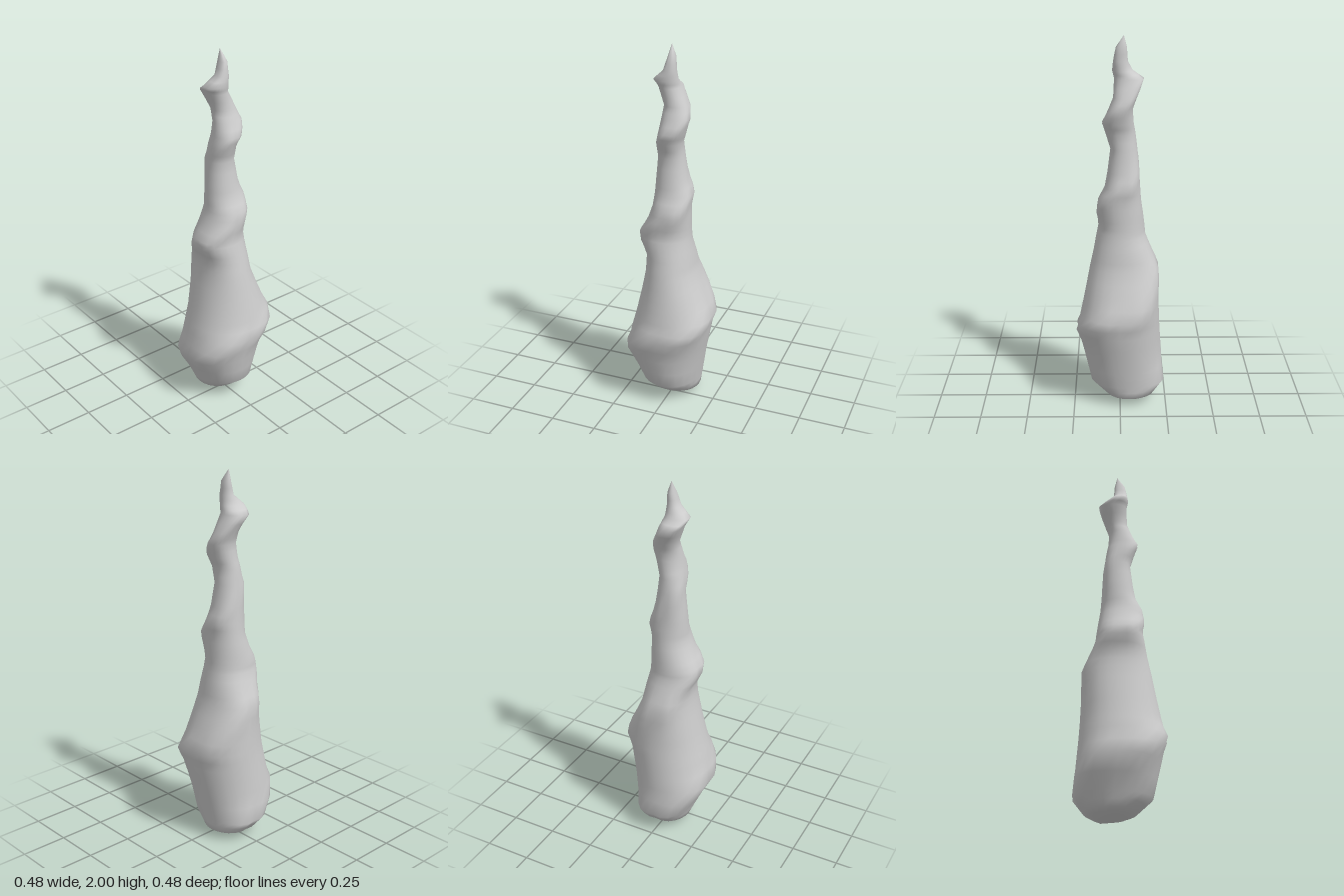
import * as THREE from 'three';

// Cross-sections from base to tip: height, min x, max x, min z, max z
const SECTIONS = [
  [0, -0.1, -0.1, -0.01, -0.01],
  [0.02, -0.14, 0.02, -0.07, 0.06],
  [0.05, -0.18, 0.08, -0.15, 0.13],
  [0.12, -0.235, 0.16, -0.16, 0.16],
  [0.29, -0.225, 0.2, -0.19, 0.235],
  [0.43, -0.215, 0.23, -0.22, 0.21],
  [0.53, -0.21, 0.21, -0.235, 0.185],
  [0.65, -0.205, 0.185, -0.19, 0.16],
  [0.78, -0.2, 0.16, -0.14, 0.135],
  [0.87, -0.165, 0.14, -0.125, 0.13],
  [0.95, -0.135, 0.125, -0.11, 0.16],
  [1.0, -0.13, 0.115, -0.105, 0.16],
  [1.08, -0.12, 0.12, -0.105, 0.12],
  [1.15, -0.11, 0.115, -0.105, 0.095],
  [1.22, -0.105, 0.08, -0.11, 0.09],
  [1.3, -0.1, 0.065, -0.085, 0.085],
  [1.42, -0.09, 0.05, -0.065, 0.075],
  [1.5, -0.08, 0.075, -0.06, 0.07],
  [1.56, -0.07, 0.09, -0.08, 0.06],
  [1.63, -0.065, 0.06, -0.095, 0.05],
  [1.69, -0.085, 0.035, -0.08, 0.045],
  [1.78, -0.12, 0.03, -0.04, 0.08],
  [1.82, -0.065, 0.04, -0.03, 0.095],
  [1.87, -0.04, 0.035, -0.025, 0.04],
  [1.94, -0.035, 0.02, -0.02, 0.02],
  [2, -0.02, -0.02, 0.005, 0.005],
];

// Heights at which the spiral ridge passes each quarter turn, starting on the right
const TURNS = [0.12, 0.29, 0.43, 0.53, 0.78, 0.97, 1.08, 1.22, 1.35, 1.46, 1.56, 1.64, 1.77, 1.82, 1.95];

function ridgeAngle(y) {
  let i = 0;
  while (i < TURNS.length - 2 && y > TURNS[i + 1]) i++;
  const t = THREE.MathUtils.clamp((y - TURNS[i]) / (TURNS[i + 1] - TURNS[i]), 0, 1);
  return (i - 1 + t) * Math.PI / 2;
}

// Rounded outline point, swelling where the ridge crosses a diagonal
function ringPoint([y, x0, x1, z0, z1], a) {
  const s = Math.sin(a), c = Math.cos(a);
  const round = Math.pow(Math.abs(s) ** 2.15 + Math.abs(c) ** 2.15, -1 / 2.15);
  const ridge = Math.max(0, Math.cos(a - ridgeAngle(y))) ** 4;
  const r = round * (1 + 0.12 * ridge * Math.abs(Math.sin(2 * a)));
  return [(x0 + x1) / 2 + s * r * (x1 - x0) / 2, y, (z0 + z1) / 2 + c * r * (z1 - z0) / 2];
}

function twistedSpire(sides) {
  // Add a halfway ring between neighbouring sections
  const rings = [];
  SECTIONS.forEach((row, i) => {
    rings.push(row);
    const next = SECTIONS[i + 1];
    if (next) rings.push(row.map((v, k) => (v + next[k]) / 2));
  });

  const positions = [], index = [];
  rings.forEach((row, i) => {
    for (let j = 0; j < sides; j++) {
      positions.push(...ringPoint(row, (j / sides) * Math.PI * 2));
      if (i === rings.length - 1) continue;
      const k = (j + 1) % sides;
      const a = i * sides + j, b = i * sides + k, c = a + sides, d = b + sides;
      if (i > 0) index.push(a, b, d);
      else { index.push(a, d, c); continue; }
      if (i < rings.length - 2) index.push(a, d, c);
    }
  });

  const geometry = new THREE.BufferGeometry();
  geometry.setAttribute('position', new THREE.Float32BufferAttribute(positions, 3));
  geometry.setIndex(index);
  geometry.computeVertexNormals();
  return geometry;
}

export function createModel() {
  const model = new THREE.Group();
  model.name = 'twistedSpire';
  const material = new THREE.MeshStandardMaterial({ color: 0xcccccc });

  // Spiral body tapering from a bulbous base to a pointed tip
  const body = new THREE.Mesh(twistedSpire(24), material);
  body.name = 'spiralBody';
  model.add(body);
  return model;
}
